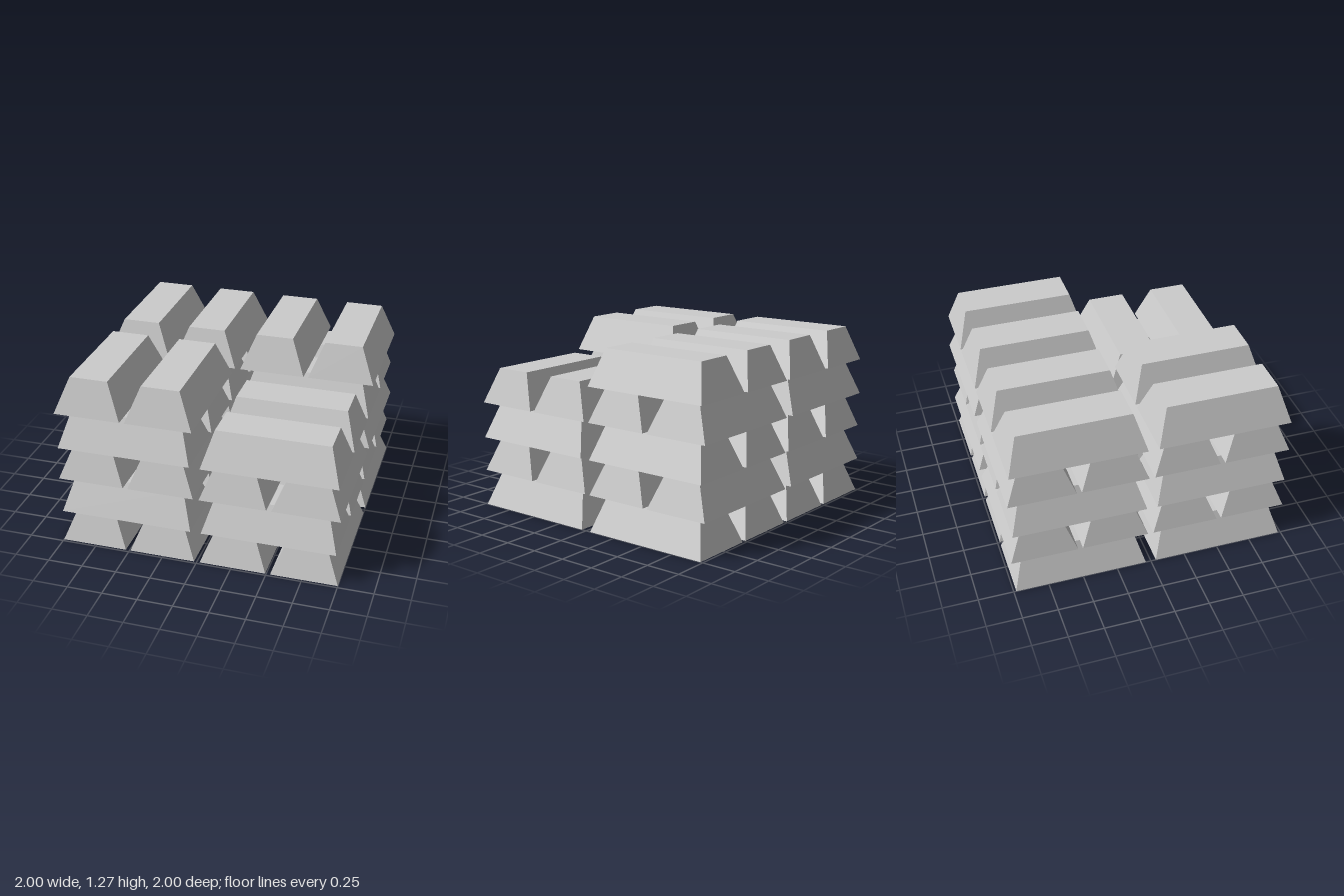
import * as THREE from 'three';

const LENGTH = 0.945, WIDTH = 0.473, HEIGHT = 0.255;
const TOP_LENGTH = 0.79, TOP_WIDTH = 0.27;
const STACK_OFFSET = 0.51;  // stack centre from the middle, on x and z
const BAR_OFFSET = 0.2535;  // bar centre from its stack's centre

// Ingot lying along z, standing on y = 0: a box with its top face drawn in
function ingotGeometry() {
  const geometry = new THREE.BoxGeometry(WIDTH, HEIGHT, LENGTH).translate(0, HEIGHT / 2, 0);
  const p = geometry.attributes.position;
  for (let i = 0; i < p.count; i++) {
    if (p.getY(i) < HEIGHT / 2) continue;
    p.setX(i, Math.sign(p.getX(i)) * TOP_WIDTH / 2);
    p.setZ(i, Math.sign(p.getZ(i)) * TOP_LENGTH / 2);
  }
  geometry.computeVertexNormals();
  return geometry;
}

export function createModel() {
  const model = new THREE.Group();
  model.name = 'ingotPile';
  const geometry = ingotGeometry();
  const material = new THREE.MeshStandardMaterial({ color: 0xcccccc, flatShading: true });

  // Four stacks; the front left one is a layer shorter
  const stacks = [
    { name: 'backRightStack', x: -1, z: -1, layers: 5 },
    { name: 'backLeftStack', x: 1, z: -1, layers: 5 },
    { name: 'frontRightStack', x: -1, z: 1, layers: 5 },
    { name: 'frontLeftStack', x: 1, z: 1, layers: 4 },
  ];
  for (const { name, x, z, layers } of stacks) {
    const stack = new THREE.Group();
    stack.name = name;
    stack.position.set(x * STACK_OFFSET, 0, z * STACK_OFFSET);

    // Pairs of ingots, each layer turned a quarter from the one below
    for (let i = 0; i < layers; i++) {
      const layer = new THREE.Group();
      layer.name = `layer${i + 1}`;
      layer.position.y = i * HEIGHT;
      layer.rotation.y = (i % 2) * Math.PI / 2;
      for (const side of [-1, 1]) {
        const ingot = new THREE.Mesh(geometry, material);
        ingot.name = 'ingot';
        ingot.position.x = side * BAR_OFFSET;
        layer.add(ingot);
      }
      stack.add(layer);
    }
    model.add(stack);
  }
  return model;
}
